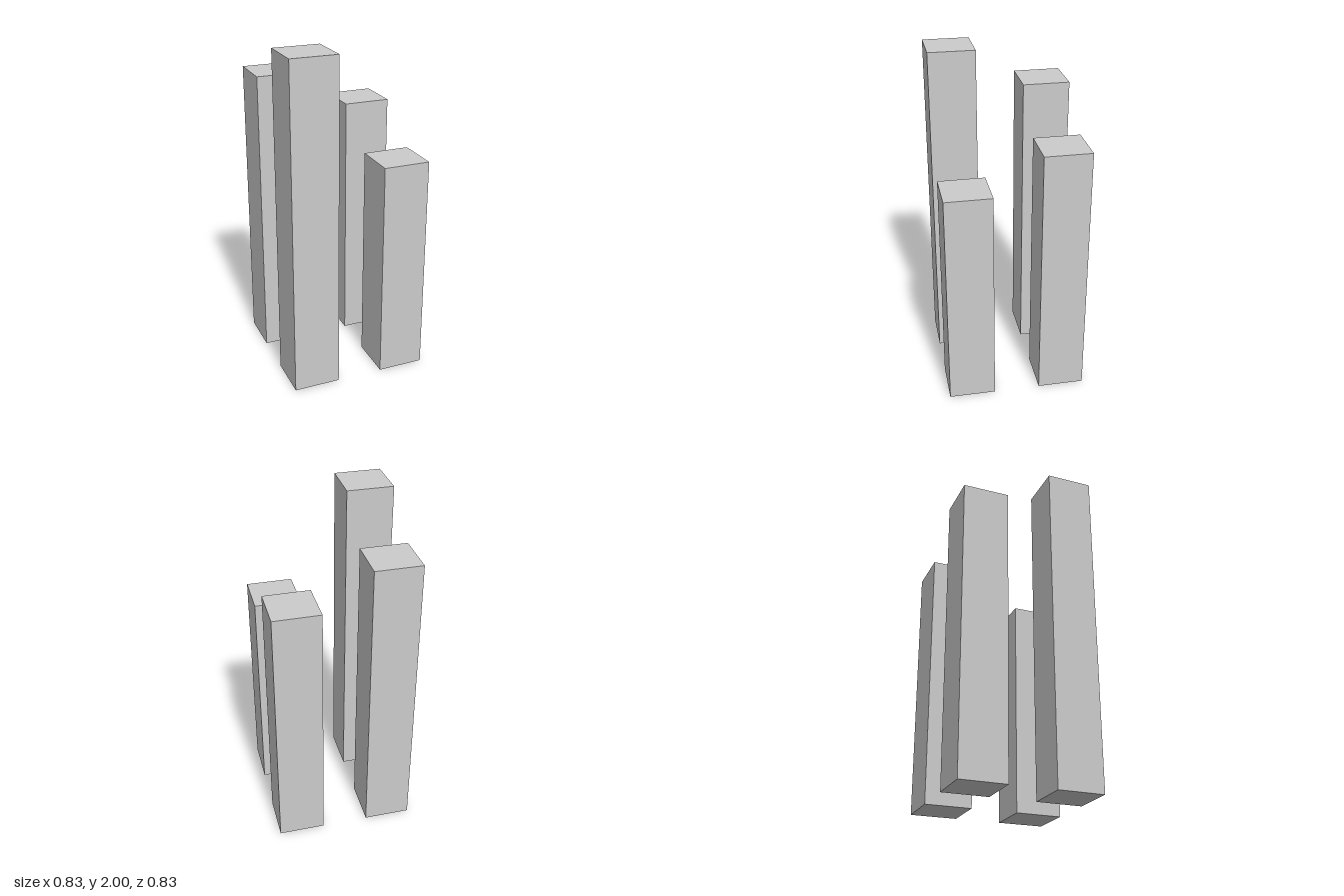
import * as THREE from 'three';

export function createModel() {
  const group = new THREE.Group();
  const material = new THREE.MeshStandardMaterial({ color: 0xcccccc, flatShading: true });
  const width = 0.2778; // square section
  const offset = 0.2778; // column centre from each axis

  // Four square columns stepping down in height around the centre
  const columns = [
    ['frontRightColumn', -1, 1, 2],
    ['backRightColumn', -1, -1, 1.778],
    ['backLeftColumn', 1, -1, 1.556],
    ['frontLeftColumn', 1, 1, 1.333],
  ];
  for (const [name, sx, sz, height] of columns) {
    const column = new THREE.Mesh(new THREE.BoxGeometry(width, height, width), material);
    column.name = name;
    column.position.set(sx * offset, height / 2, sz * offset);
    group.add(column);
  }
  return group;
}
